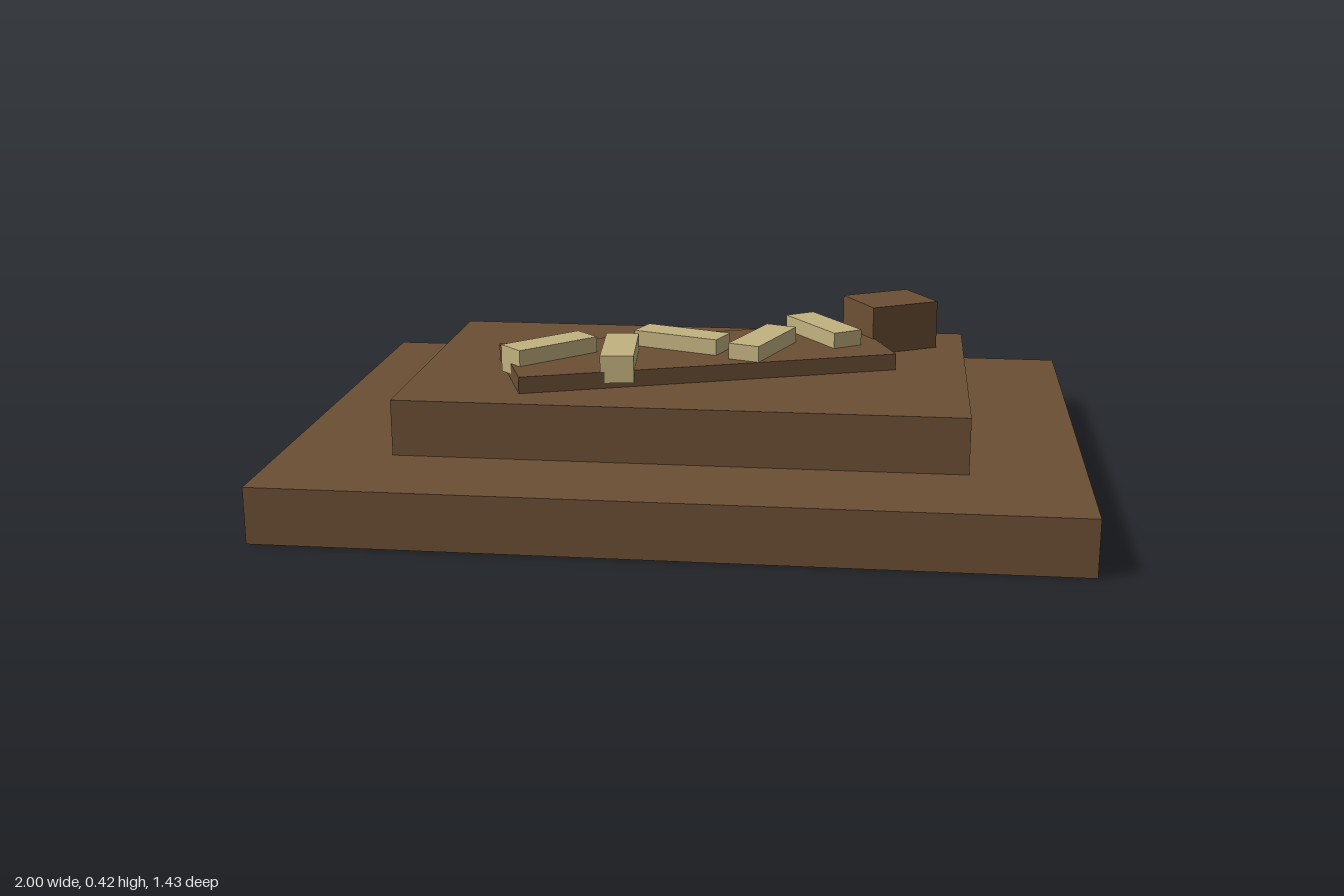
import * as THREE from 'three';

export function createModel() {
  const model = new THREE.Group();
  const brown = new THREE.MeshStandardMaterial({ color: 0x6b4f34 });
  brown.name = 'earthBrown';
  const sand = new THREE.MeshStandardMaterial({ color: 0xc2b280 });
  sand.name = 'paleSand';

  // Box standing on height y, turned by a number of degrees about the vertical
  function block(name, material, [w, h, d], [x, y, z], degrees = 0, parent = model) {
    const mesh = new THREE.Mesh(new THREE.BoxGeometry(w, h, d), material);
    mesh.name = name;
    mesh.position.set(x, y + h / 2, z);
    mesh.rotation.y = THREE.MathUtils.degToRad(degrees);
    parent.add(mesh);
  }

  // Stepped plinth
  block('lowerStep', brown, [2, 0.143, 1.429], [0, 0, 0]);
  block('upperStep', brown, [1.429, 0.143, 0.857], [0, 0.143, 0]);

  // Slanted slab with a block at its far corner
  block('slab', brown, [1, 0.043, 0.357], [0, 0.286, -0.003], 20);
  block('endBlock', brown, [0.2, 0.13, 0.171], [0.511, 0.286, -0.287], 30);

  // Loose bars scattered along the slab: x, z, angle
  const bars = new THREE.Group();
  bars.name = 'bars';
  model.add(bars);
  [
    [-0.371, 0.117, 45],
    [-0.182, 0.137, -85],
    [-0.038, -0.02, -20],
    [0.179, -0.007, 70],
    [0.332, -0.17, -55],
  ].forEach(([x, z, angle], i) =>
    block(`bar${i + 1}`, sand, [0.243, 0.071, 0.086], [x, 0.3, z], angle, bars));

  return model;
}
